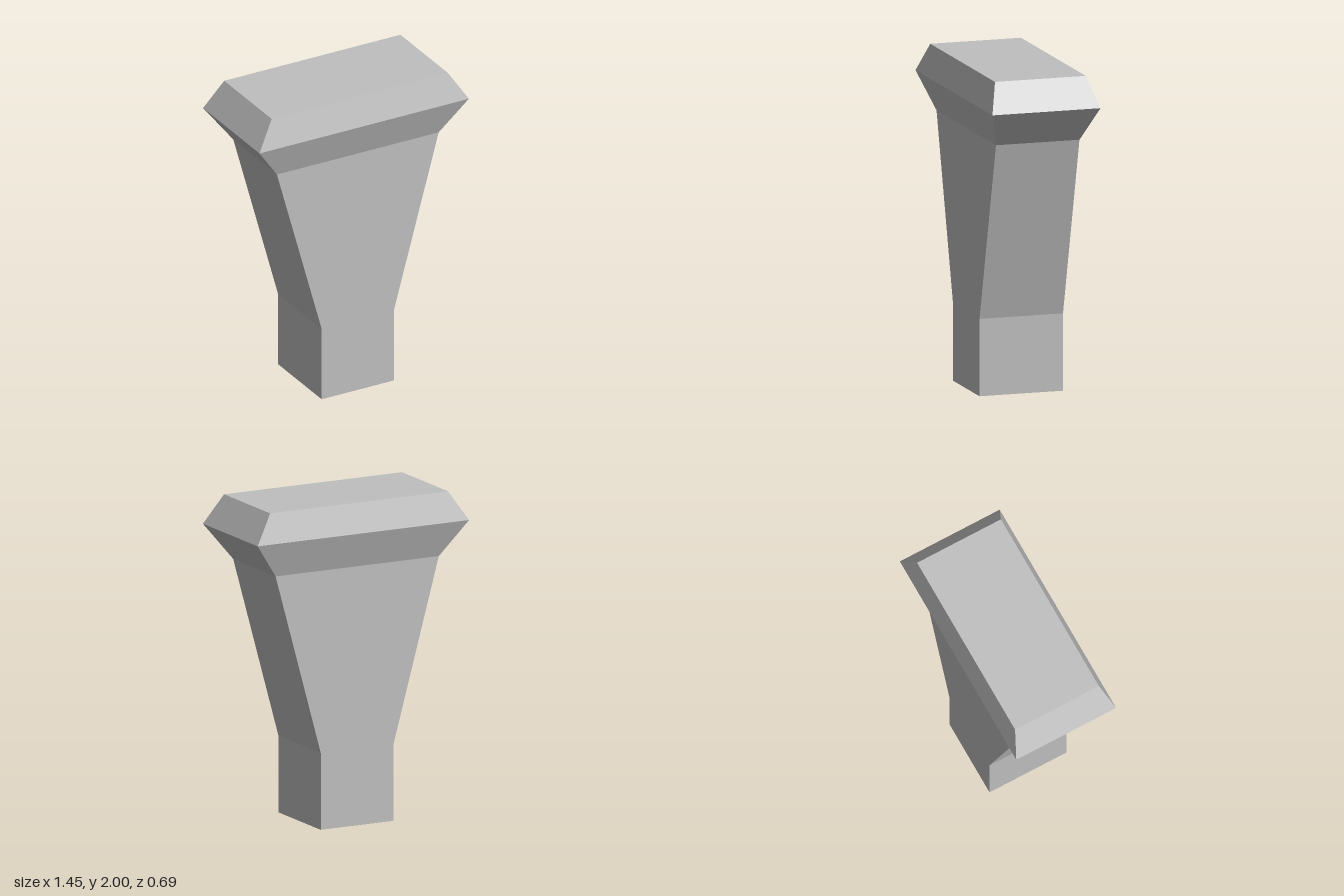
import * as THREE from 'three';

// Flat-sided solid lofted through rectangular sections [y, halfWidth, halfDepth]
function loft(sections, capBottom, capTop) {
  const rings = sections.map(([y, w, d]) => [[w, y, d], [w, y, -d], [-w, y, -d], [-w, y, d]]);
  const pos = [];
  const quad = (a, b, c, d) => pos.push(...a, ...b, ...c, ...a, ...c, ...d);
  for (let s = 0; s < rings.length - 1; s++) {
    const lo = rings[s], hi = rings[s + 1];
    for (let i = 0; i < 4; i++) {
      const j = (i + 1) % 4;
      quad(lo[i], lo[j], hi[j], hi[i]);
    }
  }
  if (capBottom) quad(...[...rings[0]].reverse());
  if (capTop) quad(...rings[rings.length - 1]);
  const geo = new THREE.BufferGeometry();
  geo.setAttribute('position', new THREE.Float32BufferAttribute(pos, 3));
  geo.computeVertexNormals();
  return geo;
}

export function createModel() {
  const group = new THREE.Group();
  group.name = 'flaredPillar';
  const stone = new THREE.MeshStandardMaterial({ color: 0xbfbfbf });
  stone.name = 'grey stone';

  const add = (name, ...args) => {
    const mesh = new THREE.Mesh(loft(...args), stone);
    mesh.name = name;
    group.add(mesh);
  };

  // Straight foot, widening shaft and bevelled cap share their joining sections
  const foot = [0.475, 0.25, 0.265];
  const neck = [1.6, 0.56, 0.265];
  add('foot', [[0, 0.25, 0.265], foot], true, false);
  add('shaft', [foot, neck], false, false);
  add('cap', [neck, [1.82, 0.725, 0.343], [2, 0.61, 0.288]], false, true);

  return group;
}
